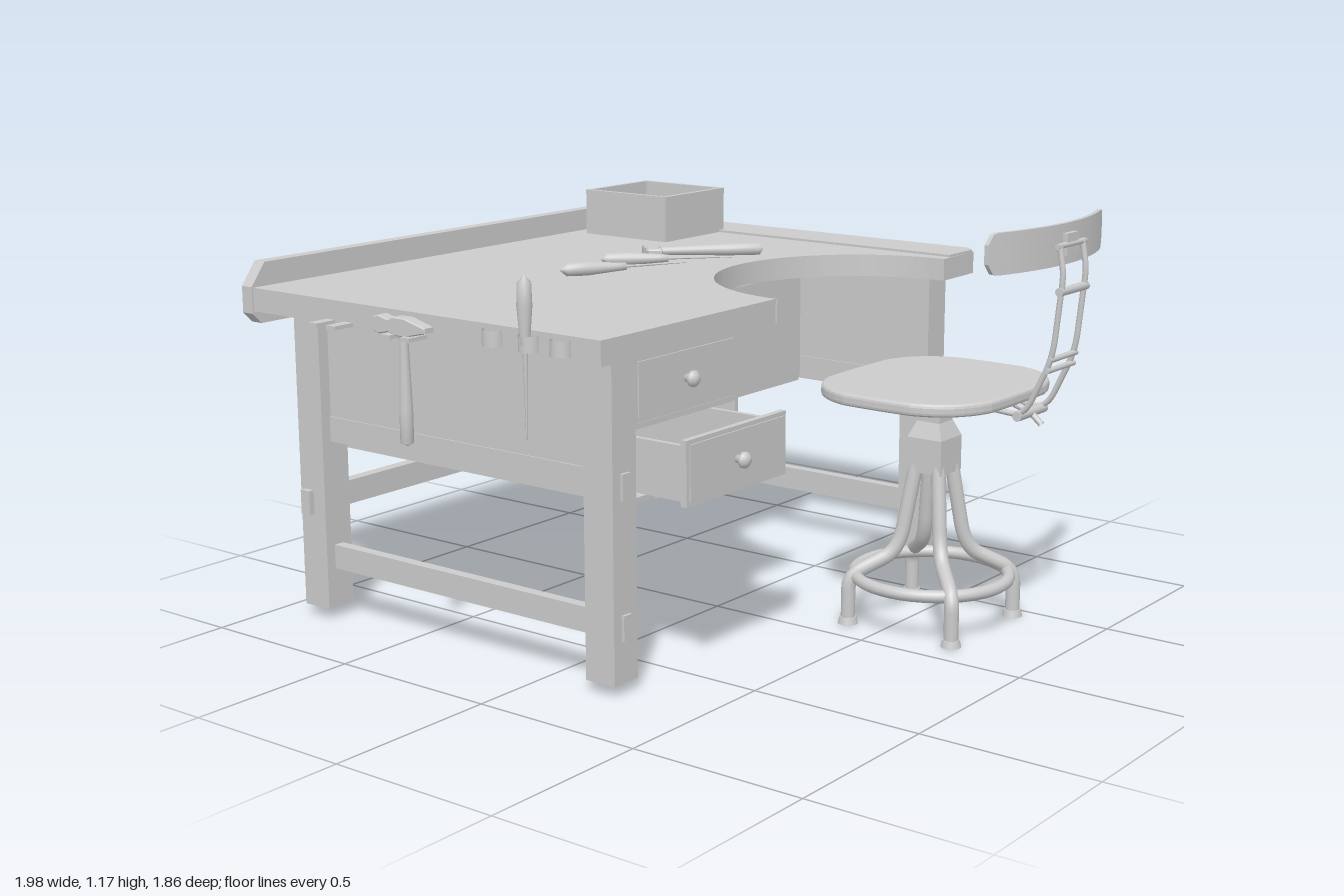
import * as THREE from 'three';

const mat = new THREE.MeshStandardMaterial({ color: 0xcccccc });
const matDouble = new THREE.MeshStandardMaterial({ color: 0xcccccc, side: THREE.DoubleSide });
const V = (x, y, z) => new THREE.Vector3(x, y, z);

function add(parent, name, geometry, material = mat) {
  const mesh = new THREE.Mesh(geometry, material);
  mesh.name = name;
  parent.add(mesh);
  return mesh;
}

// Box given by its min and max along each axis
function block(parent, name, x0, x1, y0, y1, z0, z1) {
  const m = add(parent, name, new THREE.BoxGeometry(x1 - x0, y1 - y0, z1 - z0));
  m.position.set((x0 + x1) / 2, (y0 + y1) / 2, (z0 + z1) / 2);
  return m;
}

function group(parent, name) {
  const g = new THREE.Group();
  g.name = name;
  parent.add(g);
  return g;
}

// Round tube along straight runs with softened corners
function tube(parent, name, points, r) {
  const path = new THREE.CurvePath();
  let last = points[0];
  for (let i = 1; i < points.length - 1; i++) {
    const a = points[i].clone().lerp(points[i - 1], 0.3);
    const b = points[i].clone().lerp(points[i + 1], 0.3);
    path.add(new THREE.LineCurve3(last, a));
    path.add(new THREE.QuadraticBezierCurve3(a, points[i], b));
    last = b;
  }
  path.add(new THREE.LineCurve3(last, points[points.length - 1]));
  return add(parent, name, new THREE.TubeGeometry(path, 12 * (points.length - 1), r, 10), matDouble);
}

function lathe(parent, name, profile, segments = 16) {
  return add(parent, name, new THREE.LatheGeometry(profile.map(p => new THREE.Vector2(...p)), segments), matDouble);
}

// Shape drawn in x and -z, raised to a slab
function slab(parent, name, shape, y, options) {
  const geo = new THREE.ExtrudeGeometry(shape, { bevelEnabled: false, curveSegments: 40, ...options });
  geo.rotateX(-Math.PI / 2);
  const m = add(parent, name, geo);
  m.position.y = y;
  return m;
}

function knob(parent, x, y, z) {
  const k = lathe(parent, 'knob', [[0, 0], [0.011, 0], [0.011, 0.015], [0.022, 0.022], [0.022, 0.032], [0.012, 0.042], [0, 0.043]]);
  k.rotation.z = -Math.PI / 2;
  k.position.set(x, y, z);
}

// Lying or hanging hand tool: turned handle upwards from the origin, blade downwards
function handTool(parent, name, handle, blade, flat) {
  const g = group(parent, name);
  lathe(g, 'handle', [[0, 0], [0.011, 0], [0.013, handle * 0.15], [0.02, handle * 0.6], [0.018, handle * 0.9], [0, handle]]);
  const b = add(g, 'blade', new THREE.CylinderGeometry(0.007, 0.002, blade, 8));
  b.position.y = -blade / 2;
  b.scale.z = flat;
  return g;
}

// Hammer: handle runs up from the head at the origin
function hammer(parent, name, handle) {
  const g = group(parent, name);
  lathe(g, 'handle', [[0, -0.022], [0.012, -0.022], [0.012, 0.05], [0.018, handle * 0.7], [0.018, handle * 0.97], [0, handle]]);
  const s = new THREE.Shape([[-0.09, -0.018], [-0.075, -0.022], [-0.04, -0.014], [-0.02, -0.022], [0.02, -0.022],
    [0.09, -0.004], [0.09, 0.006], [0.02, 0.022], [-0.02, 0.022], [-0.04, 0.014], [-0.075, 0.022], [-0.09, 0.018]].map(p => new THREE.Vector2(...p)));
  const head = add(g, 'head', new THREE.ExtrudeGeometry(s, { depth: 0.03, bevelEnabled: true, bevelSize: 0.003, bevelThickness: 0.004, bevelSegments: 1 }));
  head.position.z = -0.015;
  return g;
}

function buildBench(root) {
  const bench = group(root, 'bench');
  // Top with the round work bay
  const top = new THREE.Shape();
  top.moveTo(-0.96, -0.86);
  top.lineTo(0.295, -0.86);
  top.lineTo(0.295, -0.13);
  top.absarc(0.3, 0.3, 0.43, -Math.PI / 2, Math.PI / 2, true);
  top.lineTo(0.295, 0.91);
  top.lineTo(0.275, 0.93);
  top.lineTo(-0.96, 0.93);
  slab(bench, 'tabletop', top, 0.892, { depth: 0.066 });
  const rim = new THREE.Shape([[-0.96, 0.77], [0.295, 0.77], [0.295, 0.9], [0.265, 0.93], [-0.96, 0.93]].map(p => new THREE.Vector2(...p)));
  slab(bench, 'sideRim', rim, 0.955, { depth: 0.01 });
  // Raised back board with clipped corners
  const board = new THREE.Shape([[-0.835, 0.855], [0.91, 0.855], [0.935, 0.885], [0.935, 0.96], [0.885, 1.025],
    [-0.815, 1.025], [-0.865, 0.96], [-0.865, 0.885]].map(p => new THREE.Vector2(...p)));
  const bg = new THREE.ExtrudeGeometry(board, { depth: 0.04, bevelEnabled: false });
  bg.rotateY(Math.PI / 2);
  add(bench, 'backBoard', bg).position.x = -1;

  // Legs, side rails with through tenons, side panels
  for (const z of [0.718, -0.78]) {
    for (const x of [-0.858, 0.2]) block(bench, 'leg', x - 0.048, x + 0.048, 0.03, 0.892, z - 0.047, z + 0.047);
    block(bench, 'lowerRail', -0.915, 0.256, 0.145, 0.215, z - 0.016, z + 0.016);
    block(bench, 'upperRail', -0.915, 0.256, 0.518, 0.59, z - 0.016, z + 0.016);
    block(bench, 'sidePanel', -0.82, 0.16, 0.585, 0.892, z - 0.012, z + 0.012);
  }
  block(bench, 'backRail', -0.89, -0.855, 0.305, 0.375, -0.845, 0.782);
  block(bench, 'backPanel', -0.9, -0.87, 0.47, 0.892, -0.75, 0.69);

  // Drawer cabinet
  const cab = group(bench, 'drawerCabinet');
  block(cab, 'cabinetBottom', -0.87, 0.222, 0.488, 0.503, 0.205, 0.67);
  block(cab, 'cabinetOuterSide', -0.87, 0.222, 0.5, 0.892, 0.652, 0.67);
  block(cab, 'cabinetInnerSide', -0.87, 0.222, 0.5, 0.892, 0.2, 0.214);
  block(cab, 'divider', -0.87, 0.222, 0.683, 0.698, 0.21, 0.655);
  block(cab, 'topRail', 0.19, 0.222, 0.873, 0.892, 0.21, 0.655);
  for (const [front, y0, y1] of [[0.226, 0.7, 0.872], [0.392, 0.506, 0.68]]) {
    const d = group(cab, 'drawer');
    block(d, 'drawerFront', front - 0.018, front, y0, y1, 0.217, 0.648);
    block(d, 'drawerField', front, front + 0.004, y0 + 0.012, y1 - 0.012, 0.23, 0.635);
    block(d, 'drawerBottom', front - 0.75, front - 0.018, y0 + 0.008, y0 + 0.018, 0.235, 0.63);
    block(d, 'drawerBack', front - 0.765, front - 0.75, y0 + 0.008, y1 - 0.02, 0.235, 0.63);
    for (const z of [0.235, 0.615]) block(d, 'drawerSide', front - 0.75, front - 0.018, y0 + 0.008, y1 - 0.02, z, z + 0.015);
    knob(d, front, (y0 + y1) / 2, 0.438);
  }

  // Wide drawer behind the bay
  const wide = group(bench, 'bayDrawer');
  block(wide, 'bayDrawerBody', -0.87, -0.2, 0.53, 0.89, -0.69, 0.145);
  block(wide, 'bayDrawerFace', -0.2, -0.185, 0.545, 0.875, -0.675, 0.13);
  knob(wide, -0.185, 0.8, -0.27);

  // Open storage box
  const bin = group(bench, 'storageBox');
  block(bin, 'boxBottom', -0.9, -0.575, 0.957, 0.972, -0.795, -0.49);
  for (const x of [-0.9, -0.59]) block(bin, 'boxSide', x, x + 0.015, 0.957, 1.1, -0.795, -0.49);
  for (const z of [-0.795, -0.505]) block(bin, 'boxEnd', -0.886, -0.589, 0.957, 1.1, z, z + 0.015);
}

function buildTools(root) {
  const tools = group(root, 'tools');
  // Pegs and loops on the front edge
  for (const x of [-0.652, -0.583, -0.378, -0.308]) block(tools, 'peg', x - 0.016, x + 0.016, 0.893, 0.904, 0.855, 0.927);
  for (const x of [-0.058, 0.065, 0.17]) {
    const loop = add(tools, 'toolLoop', new THREE.CylinderGeometry(0.03, 0.03, 0.042, 20, 1, true, -Math.PI / 2, Math.PI), matDouble);
    loop.position.set(x, 0.925, 0.86);
  }
  const hung = hammer(tools, 'hangingHammer', 0.32);
  hung.rotation.x = Math.PI;
  hung.position.set(-0.345, 0.925, 0.892);
  handTool(tools, 'hangingAwl', 0.195, 0.225, 1).position.set(0.065, 0.905, 0.878);

  // Tools lying on the top, pointed from a to b
  const lay = (g, a, b, y) => {
    const dir = V(b[0] - a[0], 0, b[1] - a[1]).normalize();
    g.quaternion.setFromRotationMatrix(new THREE.Matrix4().makeBasis(dir.clone().cross(V(0, 1, 0)).negate(), dir, V(0, -1, 0)));
    if (g.matrix.determinant() < 0) g.scale.x = -1;
    g.position.set(a[0], y, a[1]);
  };
  lay(hammer(tools, 'lyingHammer', 0.34), [-0.405, -0.207], [-0.17, -0.45], 0.98);
  lay(handTool(tools, 'fileTool', 0.2, 0.19, 0.6), [-0.295, -0.15], [-0.44, -0.01], 0.977);
  lay(handTool(tools, 'scraperTool', 0.2, 0.19, 0.6), [-0.3, 0.04], [-0.4, 0.21], 0.977);
}

function buildStool(root) {
  const stool = group(root, 'stool');
  stool.position.set(0.556, 0, -0.275);
  // Seat
  const w = 0.255, d = 0.297, r = 0.15;
  const s = new THREE.Shape();
  s.moveTo(-w + r, -d);
  s.quadraticCurveTo(0, -d - 0.008, w - r, -d);
  s.quadraticCurveTo(w - 0.03, -d + 0.03, w, -d + r);
  s.quadraticCurveTo(w + 0.008, 0, w, d - r);
  s.quadraticCurveTo(w - 0.03, d - 0.03, w - r, d);
  s.quadraticCurveTo(0, d + 0.008, -w + r, d);
  s.quadraticCurveTo(-w + 0.03, d - 0.03, -w, d - r);
  s.quadraticCurveTo(-w - 0.008, 0, -w, -d + r);
  s.quadraticCurveTo(-w + 0.03, -d + 0.03, -w + r, -d);
  slab(stool, 'seat', s, 0.677, { depth: 0.014, curveSegments: 8, bevelEnabled: true, bevelSize: 0.011, bevelThickness: 0.011, bevelSegments: 3 });

  // Square hub
  const q = Math.SQRT2;
  const hub = lathe(stool, 'hub', [[0, 0.44], [0.055 * q, 0.44], [0.055 * q, 0.54], [0.036 * q, 0.585], [0.036 * q, 0.67]], 4);
  hub.geometry = hub.geometry.toNonIndexed();
  hub.geometry.computeVertexNormals();
  hub.rotation.y = Math.PI / 4;

  // Bent legs, feet and foot ring
  for (const i of [-1, 1]) for (const k of [-1, 1]) {
    const p = (a, y) => V(i * a, y, k * a);
    tube(stool, 'stoolLeg', [p(0.036, 0.46), p(0.068, 0.21), p(0.17, 0.14), p(0.17, 0.01)], 0.021);
    const foot = add(stool, 'foot', new THREE.CylinderGeometry(0.024, 0.029, 0.02, 14));
    foot.position.set(i * 0.17, 0.01, k * 0.17);
  }
  const ring = add(stool, 'footRing', new THREE.TorusGeometry(0.219, 0.018, 10, 40));
  ring.rotation.x = Math.PI / 2;
  ring.position.y = 0.137;

  // Back support frame
  const back = group(stool, 'backSupport');
  for (const z of [-0.063, 0.063]) {
    tube(back, 'backRod', [V(0.2, 0.66, z), V(0.315, 0.652, z), V(0.395, 0.82, z), V(0.414, 1.0, z)], 0.008);
    tube(back, 'upperRod', [V(0.414, 0.99, z), V(0.418, 1.05, z), V(0.405, 1.125, z)], 0.008);
  }
  for (const [x, y, t] of [[0.405, 1.12, 0.008], [0.414, 1.0, 0.012], [0.392, 0.815, 0.008], [0.385, 0.785, 0.008], [0.3, 0.65, 0.014]]) {
    const bar = add(back, 'crossBar', new THREE.CylinderGeometry(t, t, 0.15, 10));
    bar.rotation.x = Math.PI / 2;
    bar.position.set(x, y, 0);
  }
  tube(back, 'adjusterScrew', [V(0.25, 0.665, 0), V(0.3, 0.65, 0), V(0.335, 0.62, 0)], 0.009);
  block(back, 'backClamp', 0.39, 0.41, 1.09, 1.15, -0.03, 0.03);

  // Curved backrest with rounded ends
  const geo = new THREE.BoxGeometry(0.012, 0.11, 0.62, 1, 1, 40);
  const pos = geo.attributes.position;
  for (let i = 0; i < pos.count; i++) {
    const z = pos.getZ(i), over = Math.max(0, Math.abs(z) - 0.28) / 0.03;
    const cut = 0.03 * (1 - Math.sqrt(Math.max(0, 1 - over * over)));
    pos.setXYZ(i, pos.getX(i) + 0.39 - 0.062 * (z / 0.31) ** 2, pos.getY(i) - Math.sign(pos.getY(i)) * cut, z);
  }
  geo.computeVertexNormals();
  add(stool, 'backrest', geo).position.y = 1.12;
}

export function createModel() {
  const root = new THREE.Group();
  root.name = 'workbenchAndStool';
  buildBench(root);
  buildTools(root);
  buildStool(root);
  return root;
}
